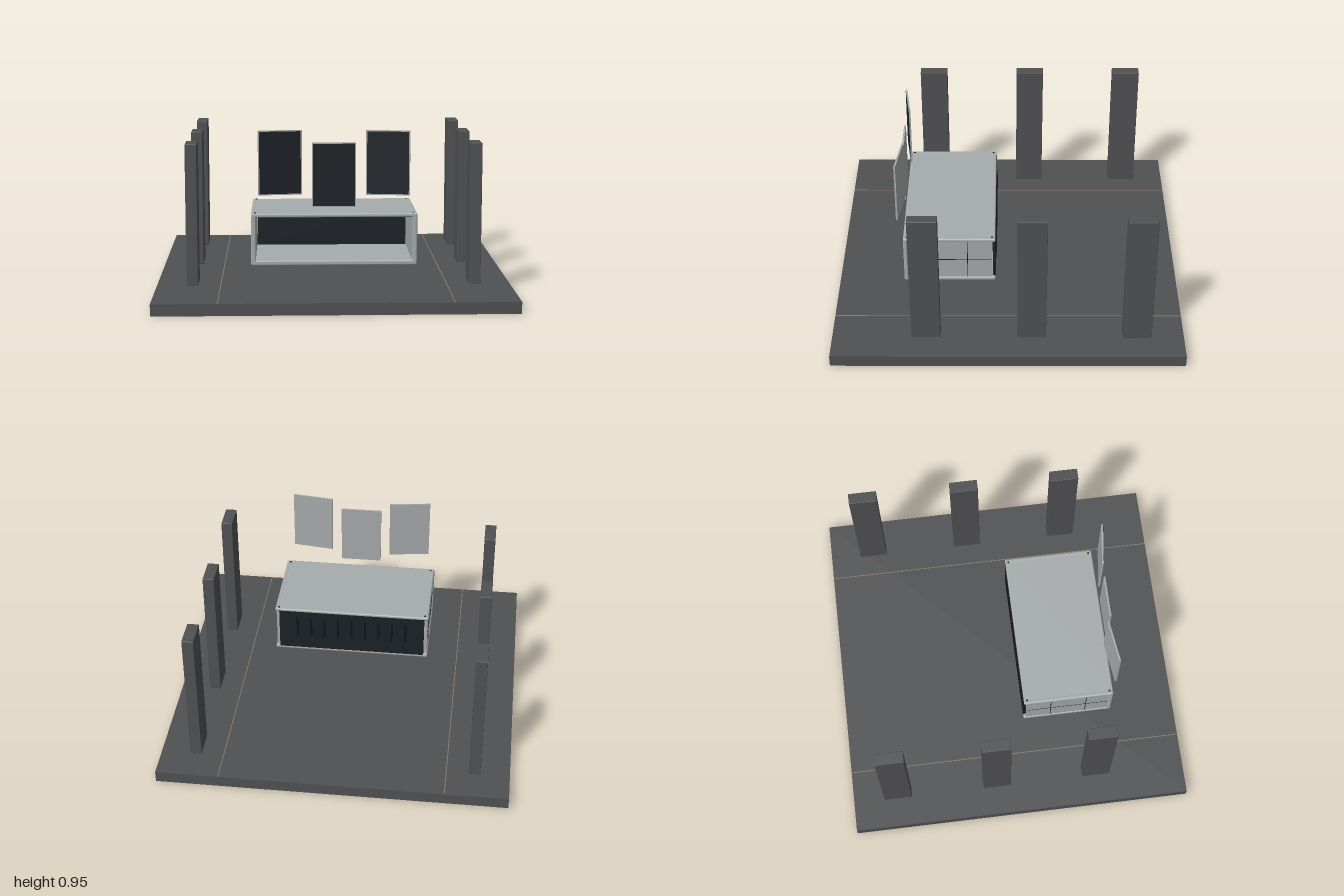
import * as THREE from 'three';
import { RoundedBoxGeometry } from 'three/addons/geometries/RoundedBoxGeometry.js';

const mat = (color) => new THREE.MeshStandardMaterial({ color });

export function createModel() {
  const model = new THREE.Group();
  const stone = mat(0x505153);
  const metal = mat(0xa6abab);
  const dark = mat(0x1b2126);
  const black = mat(0x111416);
  const stripe = mat(0x8a7a66);

  const add = (parent, name, geometry, material, x, y, z) => {
    const mesh = new THREE.Mesh(geometry, material);
    mesh.name = name;
    mesh.position.set(x, y, z);
    parent.add(mesh);
    return mesh;
  };
  const box = (parent, name, w, h, d, material, x, y, z) =>
    add(parent, name, new THREE.BoxGeometry(w, h, d), material, x, y, z);
  const rounded = (parent, name, w, h, d, r, material, x, y, z) =>
    add(parent, name, new RoundedBoxGeometry(w, h, d, 2, r), material, x, y, z);

  // Floor slab with a thin guide line along each side
  box(model, 'floor', 2, 0.067, 2, stone, 0, 0.0335, 0);
  for (const s of [-1, 1]) {
    box(model, 'floorLine', 0.005, 0.002, 2, stripe, s * 0.64, 0.067, 0);
    // Three pillars per side
    for (const z of [-0.733, -0.133, 0.467]) {
      rounded(model, 'pillar', 0.066, 0.803, 0.166, 0.003, stone, s * 0.8, 0.4695, z);
    }
  }

  // Open-fronted cabinet hovering above the floor
  const cabinet = new THREE.Group();
  cabinet.name = 'cabinet';
  model.add(cabinet);
  const zMid = 0.338;
  rounded(cabinet, 'topPanel', 0.93, 0.02, 0.53, 0.008, metal, 0, 0.476, zMid);
  rounded(cabinet, 'bottomPanel', 0.93, 0.02, 0.53, 0.008, metal, 0, 0.201, zMid);
  box(cabinet, 'backPanel', 0.88, 0.262, 0.018, dark, 0, 0.34, 0.08);

  for (const s of [-1, 1]) {
    box(cabinet, 'sidePanel', 0.018, 0.262, 0.5, metal, s * 0.45, 0.338, 0.34);
    rounded(cabinet, 'frontPost', 0.028, 0.29, 0.024, 0.008, metal, s * 0.452, 0.338, 0.592);
    // Seams on the outer side walls
    box(cabinet, 'sideSeam', 0.002, 0.004, 0.49, dark, s * 0.4592, 0.338, 0.34);
    for (const z of [0.235, 0.445]) {
      box(cabinet, 'sideSeam', 0.002, 0.25, 0.004, dark, s * 0.4592, 0.338, z);
    }
    // Rounded rails along the side edges
    for (const y of [0.475, 0.203]) {
      rounded(cabinet, 'sideRail', 0.026, 0.024, 0.53, 0.01, metal, s * 0.452, y, zMid);
    }
    // Bolts on the top corners
    for (const z of [0.092, 0.582]) {
      add(cabinet, 'bolt', new THREE.CylinderGeometry(0.006, 0.006, 0.004, 10), dark, s * 0.443, 0.487, z);
    }
  }
  rounded(cabinet, 'frontTopRail', 0.93, 0.022, 0.024, 0.008, metal, 0, 0.475, 0.592);
  rounded(cabinet, 'frontBottomRail', 0.93, 0.028, 0.024, 0.008, metal, 0, 0.205, 0.592);

  // Vertical vent slats on the back
  for (let i = -4; i <= 4; i++) {
    box(cabinet, 'ventSlat', 0.012, 0.13, 0.008, black, i * 0.082, 0.365, 0.07);
  }

  // Three floating screens, the outer two turned inwards
  const screens = [
    [-0.302, 0.773, 0.599, 0.13],
    [-0.002, 0.705, 0.609, 0],
    [0.298, 0.773, 0.62, -0.13],
  ];
  for (const [x, y, z, turn] of screens) {
    const screen = new THREE.Group();
    screen.name = 'screen';
    screen.position.set(x, y, z);
    screen.rotation.y = turn;
    box(screen, 'screenCase', 0.245, 0.362, 0.01, metal, 0, 0, 0);
    box(screen, 'screenFace', 0.232, 0.349, 0.002, dark, 0, 0, 0.0052);
    model.add(screen);
  }
  return model;
}
